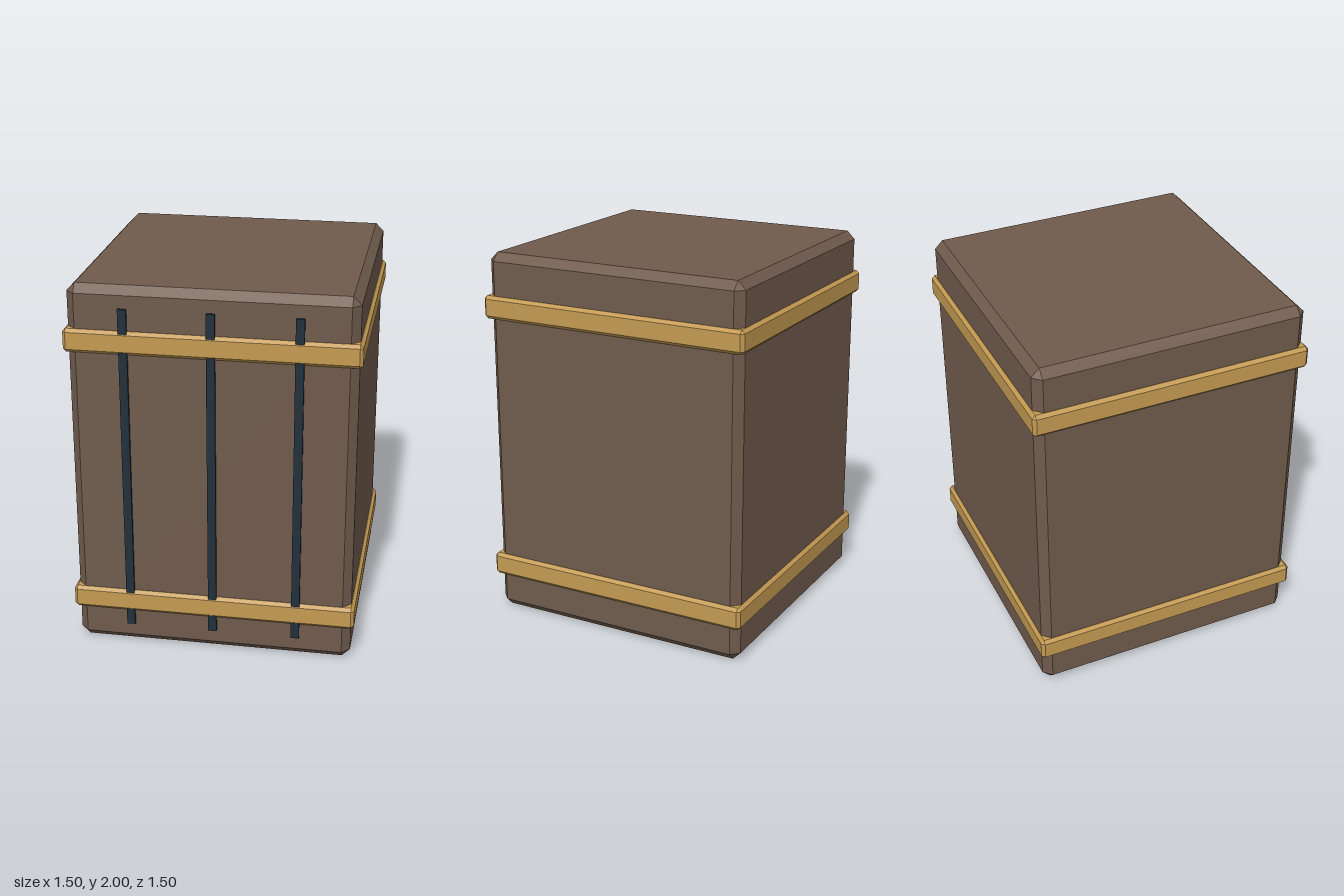
import * as THREE from 'three';
import { ConvexGeometry } from 'three/addons/geometries/ConvexGeometry.js';

// Box with flat 45-degree chamfers on every edge and corner
function chamferedBox(w, h, d, c) {
  const points = [];
  for (const x of [-w / 2, w / 2])
    for (const y of [-h / 2, h / 2])
      for (const z of [-d / 2, d / 2]) {
        const ix = x - Math.sign(x) * c, iy = y - Math.sign(y) * c, iz = z - Math.sign(z) * c;
        points.push(
          new THREE.Vector3(x, iy, iz),
          new THREE.Vector3(ix, y, iz),
          new THREE.Vector3(ix, iy, z)
        );
      }
  return new ConvexGeometry(points);
}

export function createModel() {
  const model = new THREE.Group();
  model.name = 'crate';

  const material = (color) => new THREE.MeshStandardMaterial({ color, flatShading: true });
  const wood = material(0x705b4d);
  const brass = material(0xc49a52);
  const iron = material(0x22303a);

  const add = (name, geometry, mat, x, y, z) => {
    const mesh = new THREE.Mesh(geometry, mat);
    mesh.name = name;
    mesh.position.set(x, y, z);
    model.add(mesh);
  };

  // Main block
  add('body', chamferedBox(1.466, 2, 1.466, 0.043), wood, 0, 1, 0);

  // Bands wrapped around the block
  const band = chamferedBox(1.504, 0.123, 1.504, 0.017);
  add('lowerBand', band, brass, 0, 0.256, 0);
  add('upperBand', band, brass, 0, 1.712, 0);

  // Vertical strips on the front, passing under the bands
  const strip = new THREE.BoxGeometry(0.044, 1.775, 0.03);
  ['right', 'middle', 'left'].forEach((side, i) => {
    add(side + 'Strip', strip, iron, (i - 1) * 0.443, 1.002, 0.733);
  });

  return model;
}
